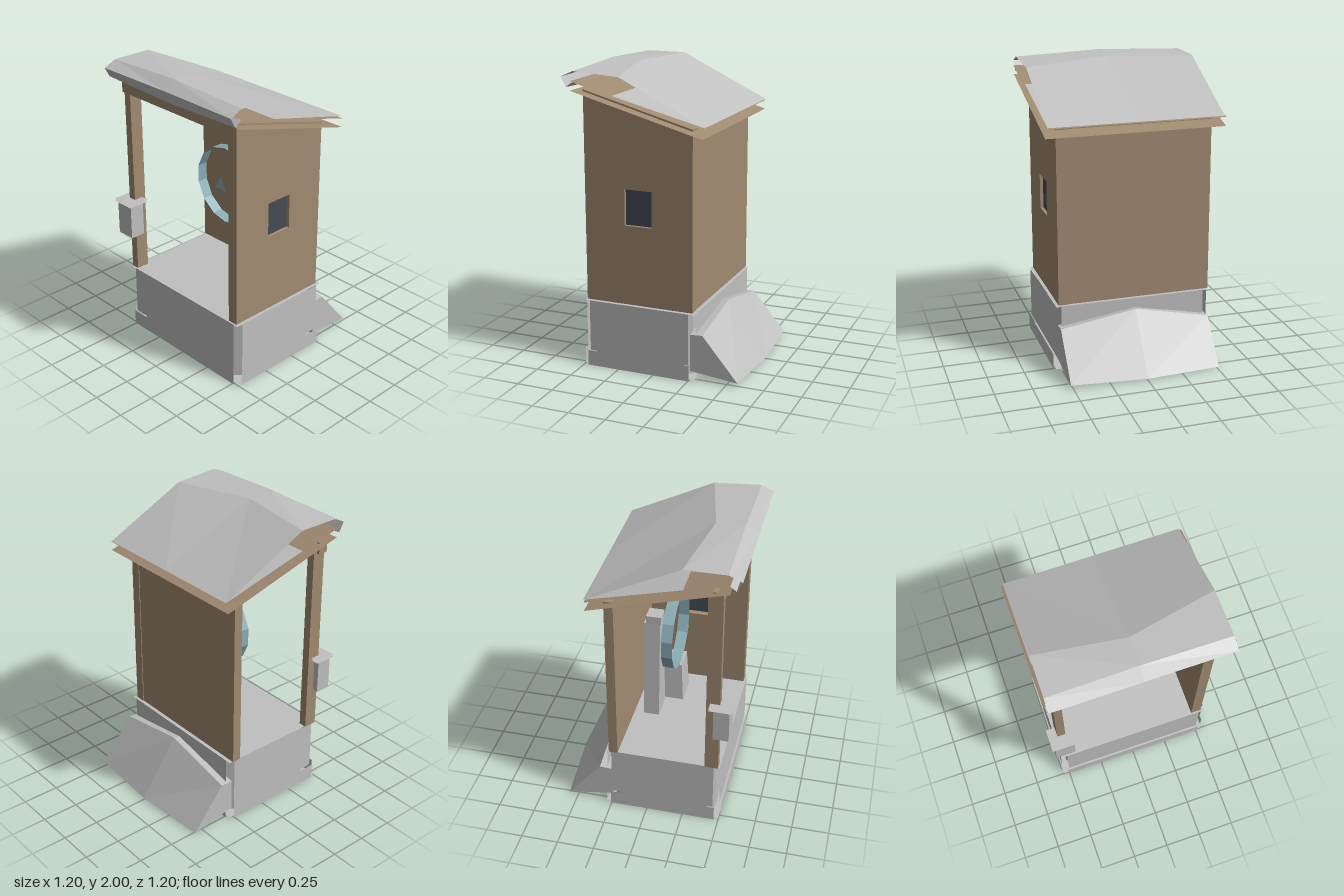
import * as THREE from 'three';

const mat = (name, color) => {
  const m = new THREE.MeshStandardMaterial({ color, side: THREE.DoubleSide, flatShading: true });
  m.name = name;
  return m;
};

export function createModel() {
  const grey = mat('pale grey', 0xc0c0c0);
  const wood = mat('brown wood', 0xa18b72);
  const glass = mat('dark glass', 0x454b56);
  const teal = mat('teal metal', 0x8aadb6);
  const model = new THREE.Group();

  const add = (name, geometry, material) => {
    const mesh = new THREE.Mesh(geometry, material);
    mesh.name = name;
    model.add(mesh);
    return mesh;
  };
  // Box given by its limits on each axis
  const box = (name, [x0, x1], [y0, y1], [z0, z1], material) => add(name,
    new THREE.BoxGeometry(x1 - x0, y1 - y0, z1 - z0)
      .translate((x0 + x1) / 2, (y0 + y1) / 2, (z0 + z1) / 2), material);
  const shape = (pts) => new THREE.Shape(pts.map(([a, b]) => new THREE.Vector2(a, b)));
  const extrude = (s, depth) => new THREE.ExtrudeGeometry(s, { depth, bevelEnabled: false });

  // Faceted skin through cross-sections {x, pts: [[z, y], ...]}
  const loft = (sections, { closed = false, caps = false } = {}) => {
    const out = [];
    const n = sections[0].pts.length;
    const p = (s, i) => [s.x, s.pts[i % n][1], s.pts[i % n][0]];
    for (let k = 0; k < sections.length - 1; k++) {
      const a = sections[k], b = sections[k + 1];
      for (let i = 0; i < (closed ? n : n - 1); i++) {
        out.push(...p(a, i), ...p(b, i), ...p(b, i + 1));
        out.push(...p(a, i), ...p(b, i + 1), ...p(a, i + 1));
      }
    }
    if (caps) {
      const first = sections[0], last = sections[sections.length - 1];
      for (let i = 1; i < n - 1; i++) {
        out.push(...p(first, 0), ...p(first, i), ...p(first, i + 1));
        out.push(...p(last, 0), ...p(last, i + 1), ...p(last, i));
      }
    }
    const g = new THREE.BufferGeometry();
    g.setAttribute('position', new THREE.Float32BufferAttribute(out, 3));
    g.computeVertexNormals();
    return g;
  };

  // Foundation: loose facing sheets standing off a core with cut corners
  const facing = (name, hx, y0, y1, z0, z1, gap) => {
    const h = y1 - y0, y = (y0 + y1) / 2, zc = (z0 + z1) / 2;
    for (const s of [-1, 1]) {
      add(name + 'Side', new THREE.PlaneGeometry(z1 - z0, h)
        .rotateY(s * Math.PI / 2).translate(s * (hx + gap), y, zc), grey);
      add(name + (s > 0 ? 'Front' : 'Back'), new THREE.PlaneGeometry(2 * hx, h)
        .rotateY(s > 0 ? 0 : Math.PI).translate(0, y, s > 0 ? z1 + gap : z0 - gap), grey);
    }
  };
  facing('plinth', 0.51, 0, 0.105, -0.255, 0.47, 0.04);
  facing('base', 0.497, 0.105, 0.455, -0.245, 0.457, 0.04);
  add('floor', new THREE.PlaneGeometry(1.06, 0.78).rotateX(-Math.PI / 2).translate(0, 0.452, 0.106), grey);
  add('underside', new THREE.PlaneGeometry(1.08, 0.79).rotateX(Math.PI / 2).translate(0, 0.01, 0.106), grey);
  const cut = 0.045, X = 0.493, Z0 = -0.457, Z1 = 0.245;
  add('baseCore', extrude(shape([
    [-X + cut, Z0], [X - cut, Z0], [X, Z0 + cut], [X, Z1 - cut],
    [X - cut, Z1], [-X + cut, Z1], [-X, Z1 - cut], [-X, Z0 + cut],
  ]), 0.43).rotateX(-Math.PI / 2).translate(0, 0.015, 0), grey);

  // Side wall with sloping top and a window opening
  const side = shape([[-0.265, 0.455], [0.485, 0.455], [0.485, 1.855], [-0.265, 1.65]]);
  side.holes.push(shape([[0.015, 0.99], [0.015, 1.23], [0.205, 1.23], [0.205, 0.99]]));
  add('sideWall', extrude(side, 0.07).rotateY(-Math.PI / 2).translate(0.51, 0, 0), wood);
  box('windowPane', [0.48, 0.488], [0.99, 1.23], [0.015, 0.205], glass);

  // Back wall, open-side post and front beam
  box('backWall', [-0.54, 0.44], [0.455, 1.655], [-0.26, -0.2], wood);
  box('frontPost', [-0.54, -0.485], [0.455, 1.8], [0.395, 0.485], wood);
  box('frontBeam', [-0.56, 0.44], [1.755, 1.835], [0.42, 0.487], wood);

  // Two sloping roof sheets
  for (const [name, lift] of [['lowerRoofSheet', 0], ['upperRoofSheet', 0.06]]) {
    const pts = [[-0.365, 1.61 + lift], [0.53, 1.856 + lift]];
    add(name, loft([{ x: -0.6, pts }, { x: 0.6, pts }]), wood);
  }

  // Thick cover on the roof, open at the ends and curling over the front edge
  const coverEnd = (z) => [[-0.372, 1.68], [z, 1.68 + (z + 0.372) * 0.485], [0.515, 1.978],
    [0.6, 1.94], [0.565, 1.875], [0.52, 1.908]];
  const coverMiddle = [[-0.372, 1.68], [0.325, 1.985], [0.515, 2], [0.6, 1.945], [0.56, 1.856], [0.52, 1.908]];
  add('roofCover', loft([
    { x: -0.585, pts: coverEnd(0.24) },
    { x: 0, pts: coverMiddle },
    { x: 0.585, pts: coverEnd(0.2) },
  ], { closed: true }), grey);

  // Drift leaning on the back of the base
  add('backDrift', loft([
    { x: -0.515, pts: [[-0.25, 0.28], [-0.335, 0.285], [-0.565, 0.005], [-0.25, 0.06]] },
    { x: 0, pts: [[-0.25, 0.385], [-0.33, 0.395], [-0.603, 0.01], [-0.25, 0.06]] },
    { x: 0.515, pts: [[-0.25, 0.31], [-0.335, 0.315], [-0.578, 0.025], [-0.25, 0.06]] },
  ], { closed: true, caps: true }), grey);

  // Tapered pillar with its head, and a side block
  add('pillar', extrude(shape([[-0.08, 0.455], [0.105, 0.455], [0.065, 1.19], [-0.04, 1.19]]), 0.11)
    .translate(0, 0, -0.135), grey);
  box('pillarHead', [-0.04, 0.065], [1.19, 1.245], [-0.122, -0.018], grey);
  add('sideBlock', new THREE.CylinderGeometry(0.17 / Math.SQRT2, 0.2 / Math.SQRT2, 0.29, 4)
    .rotateY(Math.PI / 4).translate(0.23, 0.6, 0), grey);

  // Wheel band with its triangular hub plates
  add('wheelBand', new THREE.CylinderGeometry(0.272, 0.272, 0.075, 14, 1, true)
    .rotateX(Math.PI / 2).translate(0.01, 1.145, 0.07), teal);
  const plate = (name, y, z, r, turn, material) => add(name,
    new THREE.CircleGeometry(r, 3).rotateZ(turn).translate(0.012, y, z), material);
  plate('hubPlate', 1.165, 0.15, 0.06, Math.PI / 2, teal);
  plate('shaftPlate', 1.15, 0.02, 0.045, -Math.PI / 2, grey);

  // Small box with layered lid on the front post
  box('postBox', [-0.58, -0.445], [0.735, 0.975], [0.45, 0.555], grey);
  for (const y of [0.975, 0.99]) {
    add('postBoxLid', new THREE.PlaneGeometry(0.17, 0.15).rotateX(-Math.PI / 2)
      .translate(-0.515, y, 0.495), grey);
  }

  return model;
}
